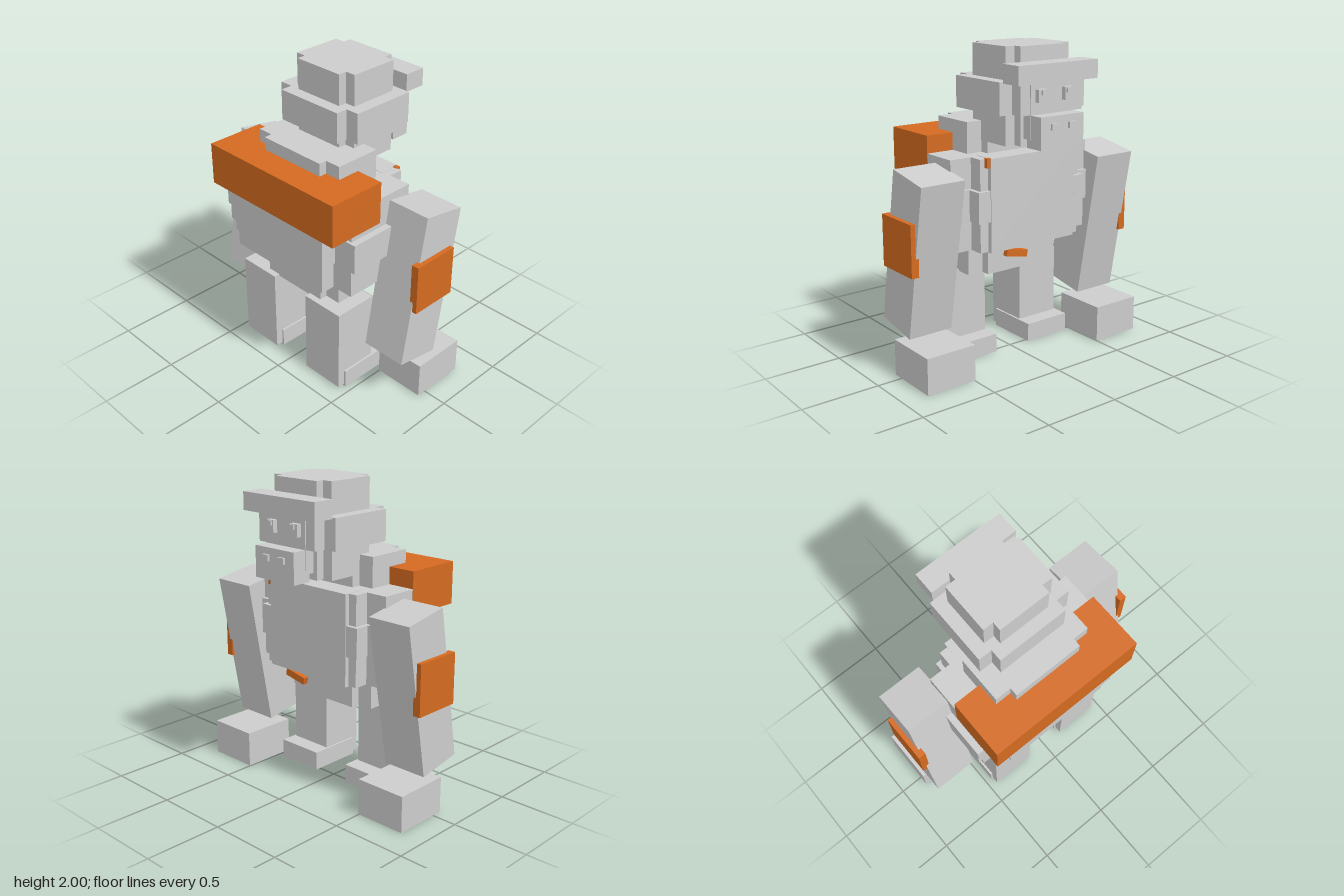
import * as THREE from 'three';

export function createModel() {
  const model = new THREE.Group();
  model.name = 'blockyApe';
  const fur = new THREE.MeshStandardMaterial({ name: 'lightGrey', color: 0xcccccc });
  const orange = new THREE.MeshStandardMaterial({ name: 'orange', color: 0xd46a20 });

  // Box given by its lower and upper limits on each axis
  const box = (name, [x0, x1], [y0, y1], [z0, z1], mat = fur) => {
    const mesh = new THREE.Mesh(new THREE.BoxGeometry(x1 - x0, y1 - y0, z1 - z0), mat);
    mesh.position.set((x0 + x1) / 2, (y0 + y1) / 2, (z0 + z1) / 2);
    mesh.name = name;
    model.add(mesh);
    return mesh;
  };
  const centred = (name, w, y, z, mat) => box(name, [-w, w], y, z, mat);
  // Two crossed boxes make a block with notched corners
  const notched = (name, y, wide, wideZ, deep, deepZ) => {
    centred(name + 'Wide', wide, y, wideZ);
    centred(name + 'Deep', deep, y, deepZ);
  };

  // Body
  notched('spine', [0.568, 1.537], 0.345, [-0.025, 0.283], 0.238, [-0.085, 0.337]);
  notched('torso', [0.765, 1.343], 0.53, [-0.115, 0.365], 0.383, [-0.21, 0.46]);
  notched('belly', [0.957, 1.15], 0.573, [-0.14, 0.383], 0.412, [-0.235, 0.487]);
  centred('chestPlate', 0.325, [0.762, 1.345], [-0.24, -0.1]);
  centred('backPack', 0.532, [1.18, 1.453], [0.13, 0.52], orange);

  // Strap ends peeking out around the chest plate
  box('strapTop', [0.32, 0.35], [1.29, 1.348], [-0.235, -0.205], orange);
  box('strapSide', [-0.332, -0.31], [1.03, 1.08], [-0.235, -0.2], orange);
  box('strapBottom', [0.04, 0.2], [0.7, 0.745], [-0.232, -0.197], orange).rotation.z = 0.2;

  // Head
  notched('head', [1.415, 2], 0.24, [-0.268, 0.058], 0.172, [-0.323, 0.115]);
  notched('cheeks', [1.61, 1.805], 0.323, [-0.323, 0.115], 0.235, [-0.403, 0.193]);
  centred('brow', 0.3, [1.797, 1.91], [-0.468, -0.323]);
  centred('face', 0.165, [1.465, 1.8], [-0.41, -0.345]);
  centred('muzzle', 0.163, [1.415, 1.61], [-0.502, -0.375]);

  // Mirrored parts
  for (const s of [-1, 1]) {
    const pair = (name, [a, b], y, z, mat) =>
      box((s > 0 ? 'left' : 'right') + name, s > 0 ? [a, b] : [-b, -a], y, z, mat);
    pair('Eye', [0.07, 0.13], [1.683, 1.76], [-0.442, -0.4]);
    pair('Pupil', [0.08, 0.11], [1.728, 1.757], [-0.452, -0.44]);
    pair('Nostril', [0.042, 0.09], [1.53, 1.568], [-0.518, -0.5]);
    pair('Arm', [0.52, 0.82], [0.2975, 1.2825], [-0.1675, 0.1375]).rotation.x = -0.174;
    model.children.at(-1).position.z = -0.017;
    pair('ArmPad', [0.8, 0.85], [0.693, 1.018], [-0.175, 0.143], orange);
    pair('Hand', [0.5, 0.84], [0.003, 0.237], [-0.305, 0.062]);
    pair('Leg', [0.145, 0.443], [0.015, 0.58], [0.08, 0.378]);
    pair('Foot', [0.132, 0.457], [0, 0.122], [-0.03, 0.33]);
  }
  return model;
}
